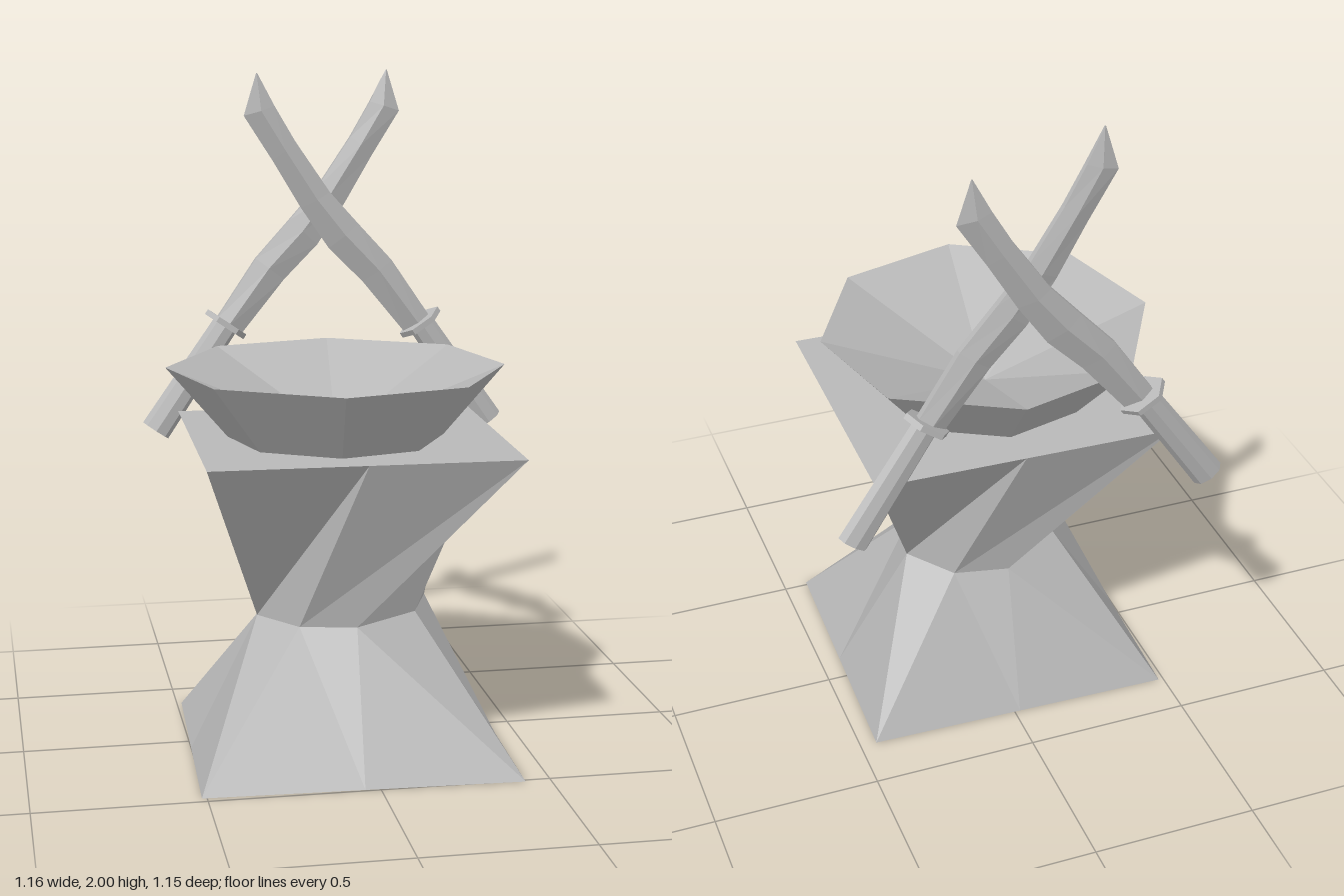
import * as THREE from 'three';

const stone = new THREE.MeshStandardMaterial({ color: 0xb8b8b8, flatShading: true, side: THREE.DoubleSide });
stone.name = 'plain grey';

// Faceted surface through closed rings of [x, y, z]; diagonal flips the quad split
function loft(rings, diagonal = false) {
  const n = rings[0].length, index = [];
  for (let r = 0; r < rings.length - 1; r++) {
    for (let i = 0; i < n; i++) {
      const a = r * n + i, b = r * n + (i + 1) % n, c = a + n, d = b + n;
      if (diagonal) index.push(a, d, c, a, b, d);
      else index.push(a, b, c, b, d, c);
    }
  }
  return facets(rings.flat(), index);
}

function facets(points, index) {
  const g = new THREE.BufferGeometry();
  g.setAttribute('position', new THREE.Float32BufferAttribute(points.flat(), 3));
  g.setIndex(index);
  const flat = g.toNonIndexed();
  flat.computeVertexNormals();
  return flat;
}

// Flat or conical cap from a ring to a centre point
function fan(ring, centre) {
  const n = ring.length;
  return facets([...ring, centre], ring.flatMap((_, i) => [i, (i + 1) % n, n]));
}

function part(name, geometry, parent) {
  const mesh = new THREE.Mesh(geometry, stone);
  mesh.name = name;
  parent.add(mesh);
  return mesh;
}

// Four corners plus edge midpoints at height y
function squareRing(corners, y) {
  return corners.flatMap(([x, z], i) => {
    const [nx, nz] = corners[(i + 1) % 4];
    return [[x, y, z], [(x + nx) / 2, y, (z + nz) / 2]];
  });
}

function makeSword() {
  const sword = new THREE.Group();
  const lean = new THREE.Group();
  lean.position.set(0, 0.87, -0.465);
  lean.rotation.x = 0.066;
  sword.add(lean);

  // Curved blade: cutting edge and spine positions with thickness
  const rows = [
    [0.26, 1.17, 0.34, 1.22, 0.024], [0.12, 1.34, 0.21, 1.41, 0.024],
    [0.01, 1.45, 0.10, 1.53, 0.023], [-0.08, 1.58, 0.01, 1.63, 0.022],
    [-0.17, 1.73, -0.10, 1.79, 0.021], [-0.26, 1.87, -0.165, 1.90, 0.018],
    [-0.222, 2.0, -0.218, 2.0, 0.001],
  ];
  const section = [[0, 0], [0.55, 1], [1, 0.45], [1, -0.45], [0.55, -1]];
  const rings = rows.map(([lx, ly, rx, ry, t]) => section.map(([u, v]) =>
    [lx + (rx - lx) * u, ly + (ry - ly) * u - 0.87, v * t]).reverse());
  part('blade', loft(rings), lean);

  // Handle and guard share the grip axis
  const grip = new THREE.Group();
  grip.name = 'grip';
  grip.position.set(0.54, 0, 0);
  grip.rotation.z = 0.607;
  lean.add(grip);
  const handle = part('handle', new THREE.CylinderGeometry(0.042, 0.048, 0.4, 8), grip);
  handle.scale.z = 0.6;
  handle.position.y = 0.2;
  const guard = part('guard', new THREE.CylinderGeometry(0.074, 0.074, 0.018, 6).rotateY(Math.PI / 6), grip);
  guard.scale.z = 0.78;
  guard.position.y = 0.405;
  return sword;
}

export function createModel() {
  const model = new THREE.Group();
  model.name = 'pedestal with crossed swords';

  // Twisted pedestal: square foot, octagonal waist, square top
  const foot = squareRing([[-0.515, 0.475], [0.425, 0.512], [0.45, -0.335], [-0.485, -0.36]], 0);
  const top = squareRing([[-0.49, 0.487], [0.42, 0.505], [0.43, -0.345], [-0.48, -0.365]], 0.955);
  const half = [[-0.305, 0.13], [-0.2, 0.275], [-0.035, 0.31], [0.165, 0.175]];
  const waist = [...half, ...half.map(([x, z]) => [-0.074 - x, 0.13 - z])].map(([x, z]) => [x, 0.43, z]);
  part('pedestalBase', loft([foot, waist], true), model);
  part('pedestalUpper', loft([waist, top], true), model);
  part('pedestalTop', fan(top, [-0.03, 0.955, 0.07]), model);

  // Shallow eight-sided bowl
  const cx = -0.057, cz = 0.08;
  const rim = [[-0.555, 0.02], [-0.455, 0.38], [-0.115, 0.575], [0.25, 0.48],
    [0.44, 0.14], [0.35, -0.225], [0.0, -0.415], [-0.36, -0.325]].map(([x, z]) => [x, 1.165, z]);
  const under = rim.map(([x, , z]) => [cx + (x - cx) * 0.64, 0.956, cz + (z - cz) * 0.64]);
  part('bowlOutside', loft([under, rim]), model);
  part('bowlInside', fan(rim, [cx, 0.96, cz]), model);

  // Two crossed swords, one turned half round behind the other
  const front = makeSword();
  front.name = 'frontSword';
  const back = makeSword();
  back.name = 'backSword';
  back.rotation.y = Math.PI;
  back.position.z = -0.956;
  model.add(front, back);
  return model;
}
